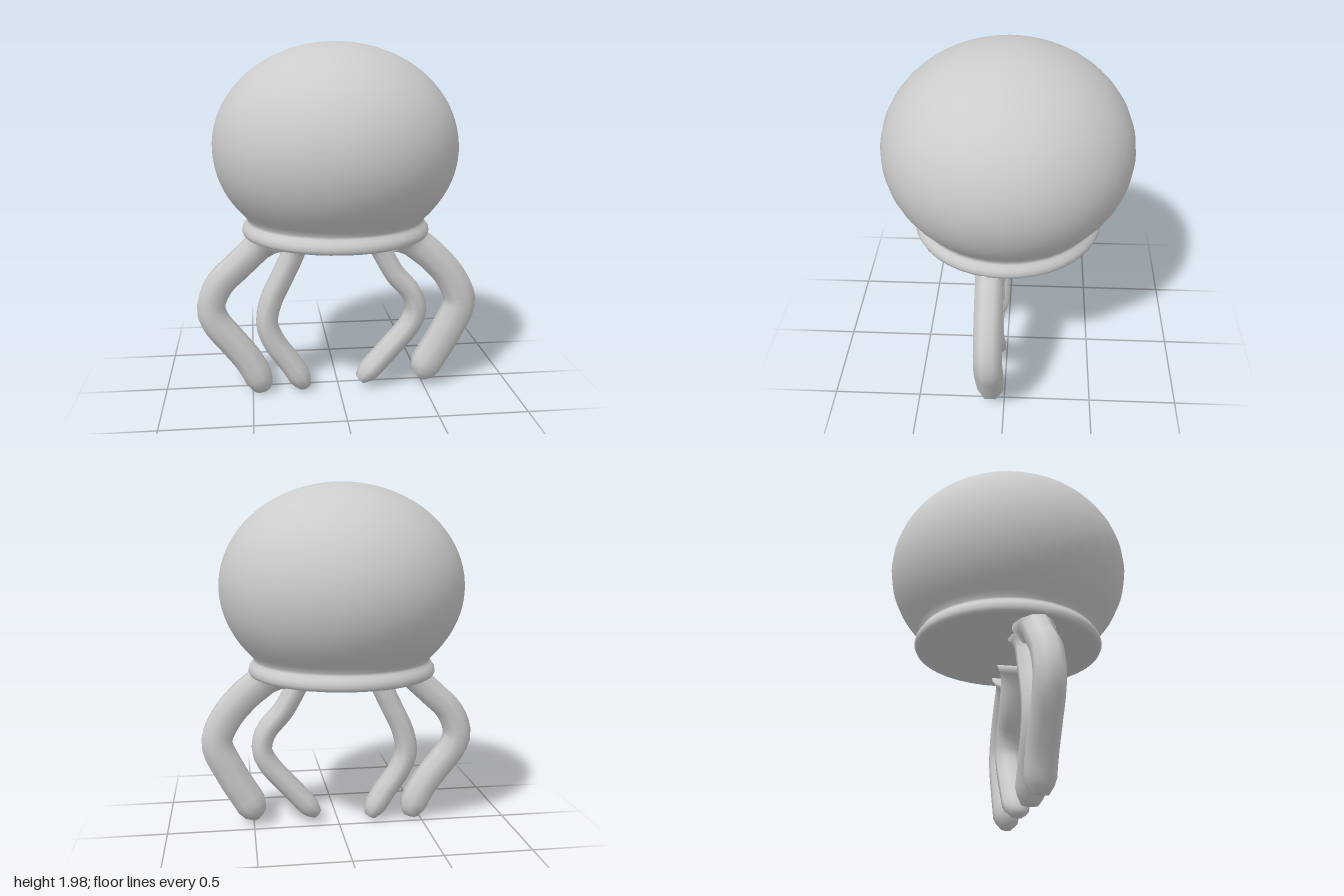
import * as THREE from 'three';

const material = new THREE.MeshStandardMaterial({ color: 0xcccccc });
const LEG_Z = 0.078, LEG_DEPTH = 0.077, SIDES = 8, RINGS = 26;

// Domed bell with a pinched neck, a rolled rim and a flat underside
function makeBell() {
  const points = [[0, 0.932], [0.3, 0.934], [0.48, 0.935], [0.505, 0.937], [0.52, 0.944],
    [0.528, 0.962], [0.525, 0.985], [0.512, 1.003], [0.5, 1.018], [0.496, 1.032]]
    .map(([r, y]) => new THREE.Vector2(r, y));
  const start = -Math.asin(0.37 / 0.57), steps = 30;
  for (let i = 0; i <= steps; i++) {
    const a = start + (Math.PI / 2 - start) * i / steps;
    points.push(new THREE.Vector2(i === steps ? 0 : 0.681 * Math.cos(a), 1.43 + 0.57 * Math.sin(a)));
  }
  const bell = new THREE.Mesh(new THREE.LatheGeometry(points, 40), material);
  bell.name = 'bell';
  bell.position.x = -0.012;
  return bell;
}

// Bent leg: elliptical rings swept along a path in the xy plane,
// flared where it meets the bell and tapered to a blunt tip
function makeLeg(name, path, radius) {
  const curve = new THREE.CatmullRomCurve3(path.map(([x, y]) => new THREE.Vector3(x, y, LEG_Z)), false, 'centripetal');
  const length = curve.getLength();
  const positions = [], index = [];
  for (let i = 0; i <= RINGS; i++) {
    const t = i / RINGS;
    const p = curve.getPointAt(t), d = curve.getTangentAt(t);
    const flare = 1 + 0.55 * Math.max(0, 1 - t * length / 0.1) ** 2;
    const fromTip = (1 - t) * length;
    const taper = fromTip < 0.06 ? 0.55 + 0.45 * fromTip / 0.06 : 1;
    const w = radius * flare * taper, h = LEG_DEPTH * flare * taper;
    for (let j = 0; j < SIDES; j++) {
      const a = (j + 0.5) / SIDES * Math.PI * 2;
      const c = Math.cos(a) * w * 1.05, s = Math.sin(a) * h * 1.05;
      positions.push(p.x - d.y * c, p.y + d.x * c, p.z + s);
    }
  }
  for (let i = 0; i < RINGS; i++) {
    for (let j = 0; j < SIDES; j++) {
      const k = (j + 1) % SIDES;
      const a = i * SIDES + j, b = i * SIDES + k;
      index.push(a, b, a + SIDES, b, b + SIDES, a + SIDES);
    }
  }
  // Closed ends
  for (const [ring, t] of [[0, 0], [RINGS, 1]]) {
    const centre = positions.length / 3;
    positions.push(...curve.getPointAt(t).toArray());
    for (let j = 0; j < SIDES; j++) {
      const a = ring * SIDES + j, b = ring * SIDES + (j + 1) % SIDES;
      if (ring) index.push(centre, a, b);
      else index.push(centre, b, a);
    }
  }
  const geometry = new THREE.BufferGeometry();
  geometry.setAttribute('position', new THREE.Float32BufferAttribute(positions, 3));
  geometry.setIndex(index);
  geometry.computeVertexNormals();
  const leg = new THREE.Mesh(geometry, material);
  leg.name = name;
  return leg;
}

export function createModel() {
  const model = new THREE.Group();
  model.name = 'jellyfish';
  model.add(makeBell());
  model.add(makeLeg('rightOuterLeg', [[-0.4, 0.945], [-0.45, 0.89], [-0.56, 0.785], [-0.675, 0.67],
    [-0.725, 0.54], [-0.7, 0.45], [-0.61, 0.33], [-0.52, 0.21], [-0.46, 0.09], [-0.447, 0.025]], 0.08));
  model.add(makeLeg('rightInnerLeg', [[-0.23, 0.95], [-0.252, 0.86], [-0.32, 0.71], [-0.39, 0.56],
    [-0.413, 0.43], [-0.375, 0.32], [-0.28, 0.18], [-0.21, 0.065], [-0.195, 0.035]], 0.063));
  model.add(makeLeg('leftInnerLeg', [[0.185, 0.95], [0.23, 0.865], [0.32, 0.705], [0.42, 0.585],
    [0.447, 0.485], [0.418, 0.4], [0.29, 0.245], [0.16, 0.1], [0.125, 0.065]], 0.06));
  model.add(makeLeg('leftOuterLeg', [[0.37, 0.945], [0.43, 0.89], [0.54, 0.8], [0.65, 0.67],
    [0.705, 0.53], [0.635, 0.355], [0.535, 0.18], [0.488, 0.105], [0.46, 0.08]], 0.09));
  return model;
}
